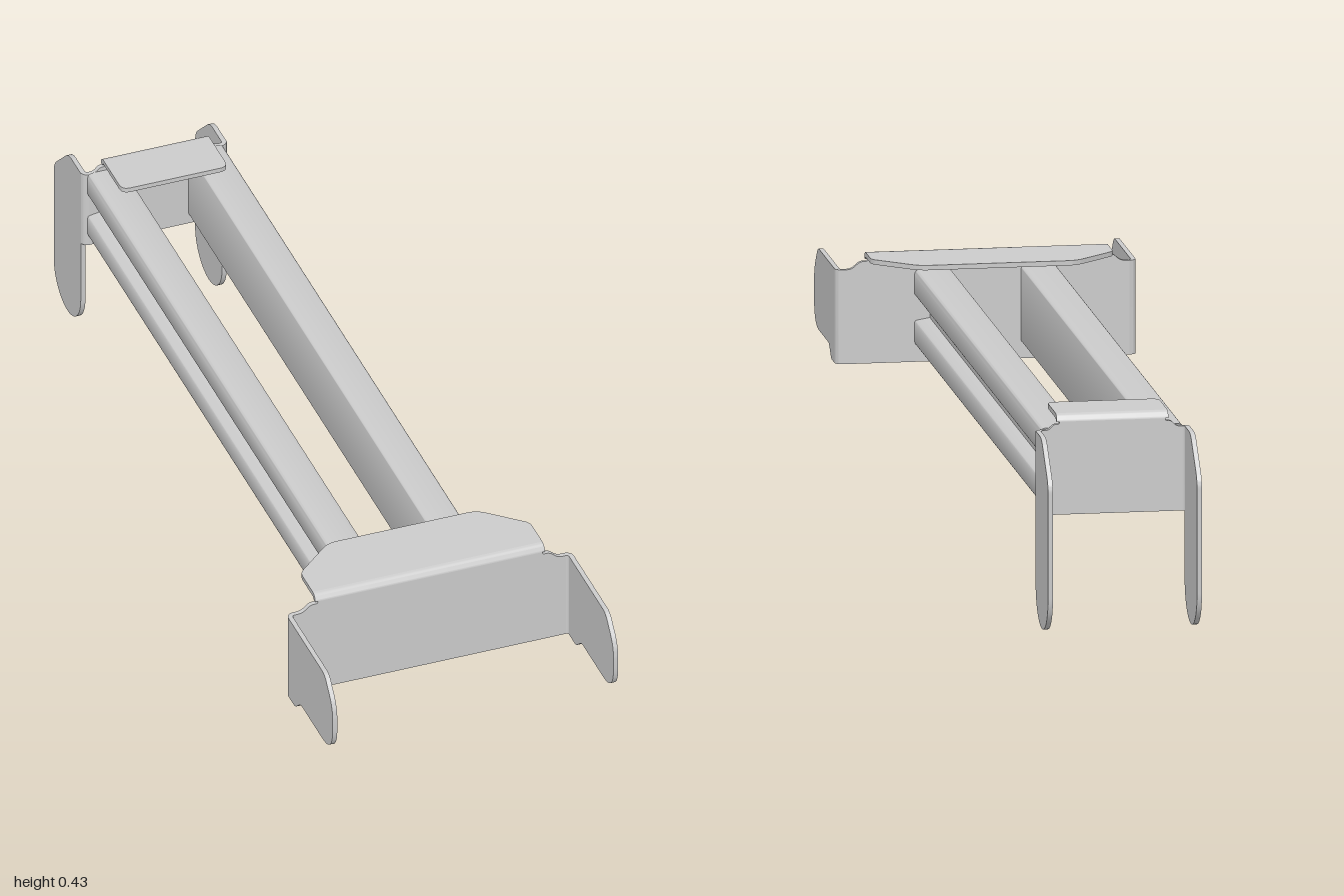
import * as THREE from 'three';
import { toCreasedNormals } from 'three/addons/utils/BufferGeometryUtils.js';

const T = 0.01;                 // sheet thickness
const R_IN = 0.005, R_OUT = 0.015; // bend radii
const material = new THREE.MeshStandardMaterial({ color: 0xcccccc, side: THREE.DoubleSide });

// Axes onto which an outline (u, v) and its extrusion depth are laid
const V = (x, y, z) => new THREE.Vector3(x, y, z);
const PLANES = {
  xy: [V(1, 0, 0), V(0, 1, 0), V(0, 0, 1)],
  zy: [V(0, 0, 1), V(0, 1, 0), V(-1, 0, 0)],
  xz: [V(1, 0, 0), V(0, 0, 1), V(0, -1, 0)],
};

// Closed outline from [u, v, trim] corners; trim rounds the corner
function outline(pts) {
  const shape = new THREE.Shape();
  const n = pts.length;
  pts.forEach(([u, v, trim = 0], i) => {
    const p = new THREE.Vector2(u, v);
    const toward = (q) => new THREE.Vector2(q[0], q[1]).sub(p).setLength(trim).add(p);
    const a = trim ? toward(pts[(i + n - 1) % n]) : p;
    if (i === 0) shape.moveTo(a.x, a.y); else shape.lineTo(a.x, a.y);
    if (trim) {
      const b = toward(pts[(i + 1) % n]);
      shape.quadraticCurveTo(u, v, b.x, b.y);
    }
  });
  shape.closePath();
  return shape;
}

// Extrude an outline in a plane, spanning from..to along the remaining axis
function slab(name, plane, pts, from, to) {
  const depth = to - from;
  const geo = new THREE.ExtrudeGeometry(outline(pts), { depth, bevelEnabled: false, curveSegments: 8 });
  const [u, v, w] = PLANES[plane];
  geo.applyMatrix4(new THREE.Matrix4().makeBasis(u, v, w));
  const start = plane === 'xy' ? from : to;
  const axis = V(Math.abs(w.x), Math.abs(w.y), Math.abs(w.z));
  geo.translate(axis.x * start, axis.y * start, axis.z * start);
  const mesh = new THREE.Mesh(toCreasedNormals(geo, 0.6), material);
  mesh.name = name;
  return mesh;
}

// Quarter-ring section of a folded sheet edge
function bend(cu, cv, su, sv) {
  const pts = [];
  for (const [r, flip] of [[R_OUT, false], [R_IN, true]]) {
    for (let i = 0; i <= 6; i++) {
      const a = ((flip ? 6 - i : i) / 6) * Math.PI / 2;
      pts.push([cu + su * r * Math.cos(a), cv + sv * r * Math.sin(a)]);
    }
  }
  return pts;
}

const mirrored = (half) => [...half, ...half.map(([u, v, t]) => [-u, v, t]).reverse()];

// End bracket: plate, folded top flange and two folded side ears; dir is the way the ears point
function bracket(name, o) {
  const g = new THREE.Group();
  g.name = name;
  const { dir, face, halfWidth, bottom, shoulder, top, flangeHalf } = o;
  const back = face - dir * T;
  const earBendX = halfWidth - R_OUT, earBendZ = back + dir * R_OUT;
  const flangeBendZ = face - dir * R_OUT;

  g.add(slab('plate', 'xy', mirrored([[earBendX, bottom], [earBendX, shoulder], ...o.neck]),
    Math.min(face, back), Math.max(face, back)));
  g.add(slab('flangeBend', 'zy', bend(flangeBendZ, top - R_OUT, dir, 1), -flangeHalf, flangeHalf));
  g.add(slab('topFlange', 'xz', mirrored([[flangeHalf, flangeBendZ], ...o.flange]), top - T, top));
  for (const s of [1, -1]) {
    const side = s > 0 ? 'left' : 'right';
    g.add(slab(side + 'EarBend', 'xz', bend(s * earBendX, earBendZ, s, -dir), bottom, shoulder));
    const x = s * (halfWidth - T / 2);
    g.add(slab(side + 'Ear', 'zy', o.ear, x - T / 2, x + T / 2));
  }
  return g;
}

export function createModel() {
  const model = new THREE.Group();
  model.name = 'railFrame';

  // Two long rails, grooved along the outer side
  for (const s of [1, -1]) {
    const section = [
      [0.071, 0.236, 0.008], [0.146, 0.236, 0.012], [0.146, 0.289, 0.006], [0.115, 0.294],
      [0.115, 0.335], [0.146, 0.340, 0.006], [0.146, 0.394, 0.012], [0.071, 0.394, 0.008],
    ].map(([x, y, t]) => [s * x, y, t]);
    model.add(slab(s > 0 ? 'leftRail' : 'rightRail', 'xy', section, -0.835, 0.73));
  }

  // Wide front bracket with short forward ears
  model.add(bracket('frontBracket', {
    dir: 1, face: 0.74, halfWidth: 0.307, bottom: 0.204, shoulder: 0.398, top: 0.434, flangeHalf: 0.247,
    neck: [[0.275, 0.398, 0.01], [0.257, 0.414, 0.008], [0.241, 0.414, 0.005], [0.241, 0.419]],
    flange: [[0.247, 0.655, 0.012], [0.16, 0.578, 0.02]],
    ear: [[0.745, 0.204], [0.745, 0.398], [0.953, 0.398, 0.015], [1, 0.345, 0.03],
      [1, 0.231, 0.06], [0.815, 0.231, 0.01], [0.785, 0.204, 0.01]],
  }));

  // Narrow rear bracket with long ears that reach the floor
  const foot = [];
  for (let i = 0; i <= 20; i++) {
    const a = (i / 20) * Math.PI;
    foot.push([-0.9225 - 0.0775 * Math.cos(a), 0.0775 - 0.0775 * Math.sin(a)]);
  }
  model.add(bracket('rearBracket', {
    dir: -1, face: -0.845, halfWidth: 0.157, bottom: 0.217, shoulder: 0.391, top: 0.423, flangeHalf: 0.114,
    neck: [[0.13, 0.391, 0.008], [0.12, 0.403, 0.006], [0.108, 0.403, 0.004], [0.108, 0.408]],
    flange: [[0.114, -0.722, 0.018]],
    ear: [...foot, [-0.845, 0.391], [-0.917, 0.391, 0.02], [-1, 0.312, 0.02]],
  }));

  return model;
}
